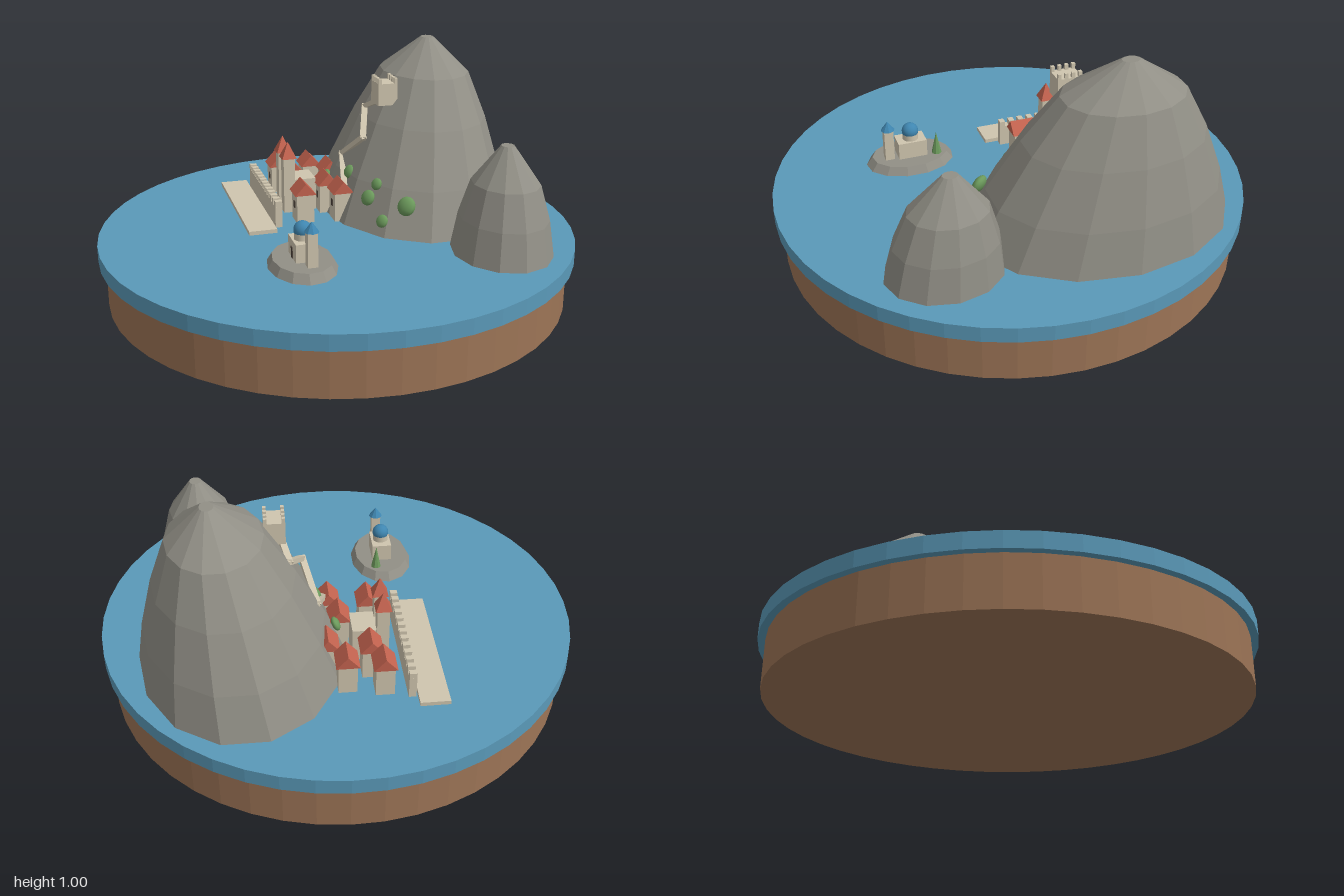
import * as THREE from 'three';

const mat = (name, color) => {
  const m = new THREE.MeshStandardMaterial({ color });
  m.name = name;
  return m;
};
const ANGLE = -0.35; // everything on the shore is turned by this
const GROUND = 0.265;

// split faces so every facet keeps its own normal
function flat(geo) {
  const g = geo.index ? geo.toNonIndexed() : geo;
  g.computeVertexNormals();
  return g;
}

export function createModel() {
  const root = new THREE.Group();
  root.name = 'islandDiorama';
  const earth = mat('earth brown', 0x9c7456);
  const water = mat('water blue', 0x5a99b8);
  const rock = mat('rock grey', 0x918f86);
  const stone = mat('pale stone', 0xcfc5ae);
  const tile = mat('roof red', 0xc4634f);
  const leaf = mat('leaf green', 0x6c9a5c);
  const blue = mat('dome blue', 0x3f86b0);
  const dark = mat('window dark', 0x4a4038);

  const add = (parent, name, geo, material, x = 0, y = 0, z = 0) => {
    const m = new THREE.Mesh(geo, material);
    m.name = name;
    m.position.set(x, y, z);
    parent.add(m);
    return m;
  };
  // box standing on height y
  const block = (parent, name, w, h, d, material, x, y, z) =>
    add(parent, name, new THREE.BoxGeometry(w, h, d), material, x, y + h / 2, z);
  const place = (name, x, y, z, parent = root) => {
    const g = new THREE.Group();
    g.name = name;
    g.position.set(x, y, z);
    g.rotation.y = ANGLE;
    parent.add(g);
    return g;
  };

  // plinth and sea
  add(root, 'plinth', flat(new THREE.CylinderGeometry(0.97, 0.97, 0.2, 48)), earth, 0, 0.1, 0);
  add(root, 'sea', flat(new THREE.CylinderGeometry(1, 1, 0.065, 48)), water, 0, 0.2325, 0);

  // faceted hill: [scale, y] profile, elliptical plan, centre drifting from base to peak
  function hill(name, profile, sides, a, b, base, peak) {
    const pts = profile.map(([s, y]) => new THREE.Vector2(s, y));
    const y0 = pts[0].y, y1 = pts[pts.length - 1].y;
    pts.push(new THREE.Vector2(0, y1));
    const g = new THREE.LatheGeometry(pts, sides).scale(a, 1, b).rotateY(ANGLE);
    const p = g.attributes.position;
    for (let i = 0; i < p.count; i++) {
      const t = (p.getY(i) - y0) / (y1 - y0);
      p.setX(i, p.getX(i) + base[0] + (peak[0] - base[0]) * t);
      p.setZ(i, p.getZ(i) + base[1] + (peak[1] - base[1]) * t);
    }
    add(root, name, flat(g), rock);
  }
  hill('mainMountain', [[1, GROUND], [0.87, 0.45], [0.67, 0.67], [0.45, 0.86], [0.065, 1]],
    14, 0.555, 0.42, [-0.08, -0.467], [-0.105, -0.578]);
  hill('smallMountain', [[1, GROUND], [0.88, 0.41], [0.67, 0.55], [0.13, 0.697]],
    12, 0.235, 0.2, [0.615, -0.372], [0.595, -0.4]);
  hill('islet', [[1, GROUND], [0.86, 0.3]], 13, 0.193, 0.137, [0.265, 0.357], [0.265, 0.357]);

  // quay and battlemented sea wall
  const quay = place('quay', -0.405, GROUND, 0.195);
  block(quay, 'quaySlab', 0.66, 0.017, 0.12, stone, 0, 0, 0);
  const wall = place('seaWall', -0.378, GROUND, 0.118);
  block(wall, 'wallBody', 0.545, 0.092, 0.03, stone, 0, 0, 0);
  for (let i = 0; i < 13; i++)
    block(wall, 'merlon', 0.024, 0.024, 0.03, stone, -0.26 + i * 0.52 / 12, 0.092, 0);

  // houses with gabled roofs
  const gable = new THREE.Shape([[-0.047, 0], [0.047, 0], [0, 0.052]].map(p => new THREE.Vector2(...p)));
  const roofGeo = new THREE.ExtrudeGeometry(gable, { depth: 0.106, bevelEnabled: false })
    .translate(0, 0, -0.053).rotateY(Math.PI / 2);
  const houses = [[-0.46, -0.175], [-0.335, -0.2], [-0.535, -0.05], [-0.42, -0.05],
    [-0.19, -0.08], [-0.065, -0.07], [-0.14, 0.075]];
  for (const [x, z] of houses) {
    const h = place('house', x, GROUND, z);
    block(h, 'houseWalls', 0.09, 0.128, 0.075, stone, 0, 0, 0);
    add(h, 'houseRoof', roofGeo, tile, 0, 0.126, 0);
    block(h, 'houseWindow', 0.02, 0.03, 0.004, dark, 0, 0.06, 0.038);
  }

  // church with twin towers
  const church = place('church', -0.295, GROUND, -0.01);
  block(church, 'nave', 0.125, 0.145, 0.12, stone, 0, 0, 0);
  const spire = flat(new THREE.ConeGeometry(0.046, 0.072, 4).rotateY(Math.PI / 4));
  for (const s of [-1, 1]) {
    block(church, 'bellTower', 0.05, 0.25, 0.05, stone, s * 0.05, 0, 0.062);
    add(church, 'towerRoof', spire, tile, s * 0.05, 0.283, 0.062);
  }

  // fortress on the slope
  const fort = place('fortress', -0.05, 0.75, -0.293);
  block(fort, 'keep', 0.1, 0.095, 0.085, stone, 0, 0, 0);
  for (let i = 0; i < 4; i++)
    for (const s of [-1, 1])
      block(fort, 'keepMerlon', 0.014, 0.022, 0.014, stone, -0.043 + i * 0.0287, 0.095, s * 0.0355);

  // zigzag stairway up the mountain
  const stairs = [[-0.065, 0.76, -0.275], [-0.175, 0.71, -0.285], [-0.045, 0.615, -0.175],
    [-0.21, 0.5, -0.185], [-0.065, 0.41, -0.09]].map(p => new THREE.Vector3(...p));
  for (let i = 0; i < stairs.length - 1; i++) {
    const a = stairs[i], b = stairs[i + 1];
    const geo = new THREE.BoxGeometry(0.026, 0.02, a.distanceTo(b) + 0.018);
    const flight = add(root, 'stairFlight', geo, stone, ...a.clone().lerp(b, 0.5).toArray());
    flight.lookAt(b);
  }

  // bushes flattened against the slope
  const bushGeo = new THREE.SphereGeometry(1, 12, 8);
  for (const [x, y, z, r] of [[-0.09, 0.455, -0.135, 0.032], [0.11, 0.455, -0.13, 0.026],
    [0.09, 0.395, -0.1, 0.034], [0.2, 0.325, -0.09, 0.028], [0.278, 0.4, -0.155, 0.041],
    [-0.245, 0.4, -0.12, 0.03]]) {
    const bush = add(root, 'bush', bushGeo, leaf, x, y, z);
    bush.scale.set(r, r, r * 0.55);
    bush.rotation.set(-0.45, x * 1.2, 0);
  }

  // domed chapel on the islet
  const chapel = place('chapel', 0.262, 0.3, 0.352);
  block(chapel, 'chapelBody', 0.125, 0.075, 0.085, stone, 0, 0, 0);
  add(chapel, 'drum', new THREE.CylinderGeometry(0.034, 0.034, 0.03, 16), stone, 0, 0.088, 0);
  add(chapel, 'dome', new THREE.SphereGeometry(0.036, 16, 12), blue, 0, 0.112, 0);
  block(chapel, 'chapelDoor', 0.022, 0.045, 0.004, dark, 0, 0, 0.043);
  block(chapel, 'chapelTower', 0.04, 0.14, 0.04, stone, 0.1, 0, -0.01);
  add(chapel, 'towerCap', flat(new THREE.ConeGeometry(0.03, 0.042, 8)), blue, 0.1, 0.16, -0.01);
  add(root, 'cypress', flat(new THREE.ConeGeometry(0.022, 0.1, 8)), leaf, 0.172, 0.35, 0.285);

  return root;
}
